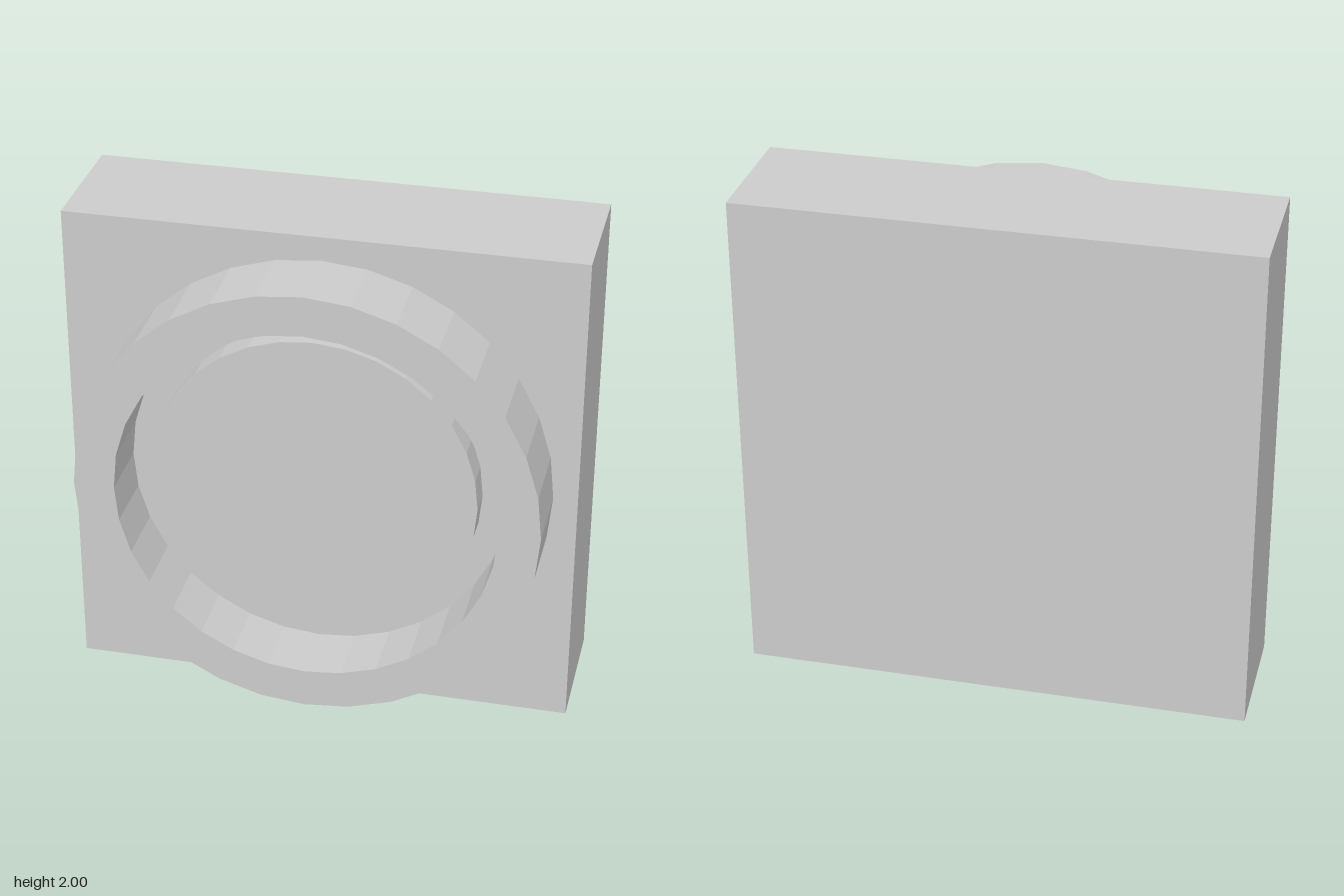
import * as THREE from 'three';

const SEGMENTS = 32;

export function createModel() {
  const model = new THREE.Group();
  const material = new THREE.MeshStandardMaterial({ color: 0xcccccc, flatShading: true });

  const add = (name, geometry, y, z) => {
    const mesh = new THREE.Mesh(geometry, material);
    mesh.name = name;
    mesh.position.set(0, y, z);
    model.add(mesh);
  };

  // Square backing block
  add('backPlate', new THREE.BoxGeometry(2, 2, 0.52), 1, -0.15);

  // Raised rim with a recessed floor; profile is (radius, depth), turned to face +z
  const profile = [
    [0.905, 0.11], [0.905, 0.41], [0.745, 0.41], [0.745, 0.15], [0.64, 0.15],
  ].map(([r, z]) => new THREE.Vector2(r, z));
  add('rim', new THREE.LatheGeometry(profile, SEGMENTS).rotateX(Math.PI / 2), 1, 0);

  // Round centre disc standing in the recess
  const disc = new THREE.CylinderGeometry(0.64, 0.64, 0.15, SEGMENTS).rotateX(Math.PI / 2);
  add('centreDisc', disc, 1, 0.185);

  return model;
}
